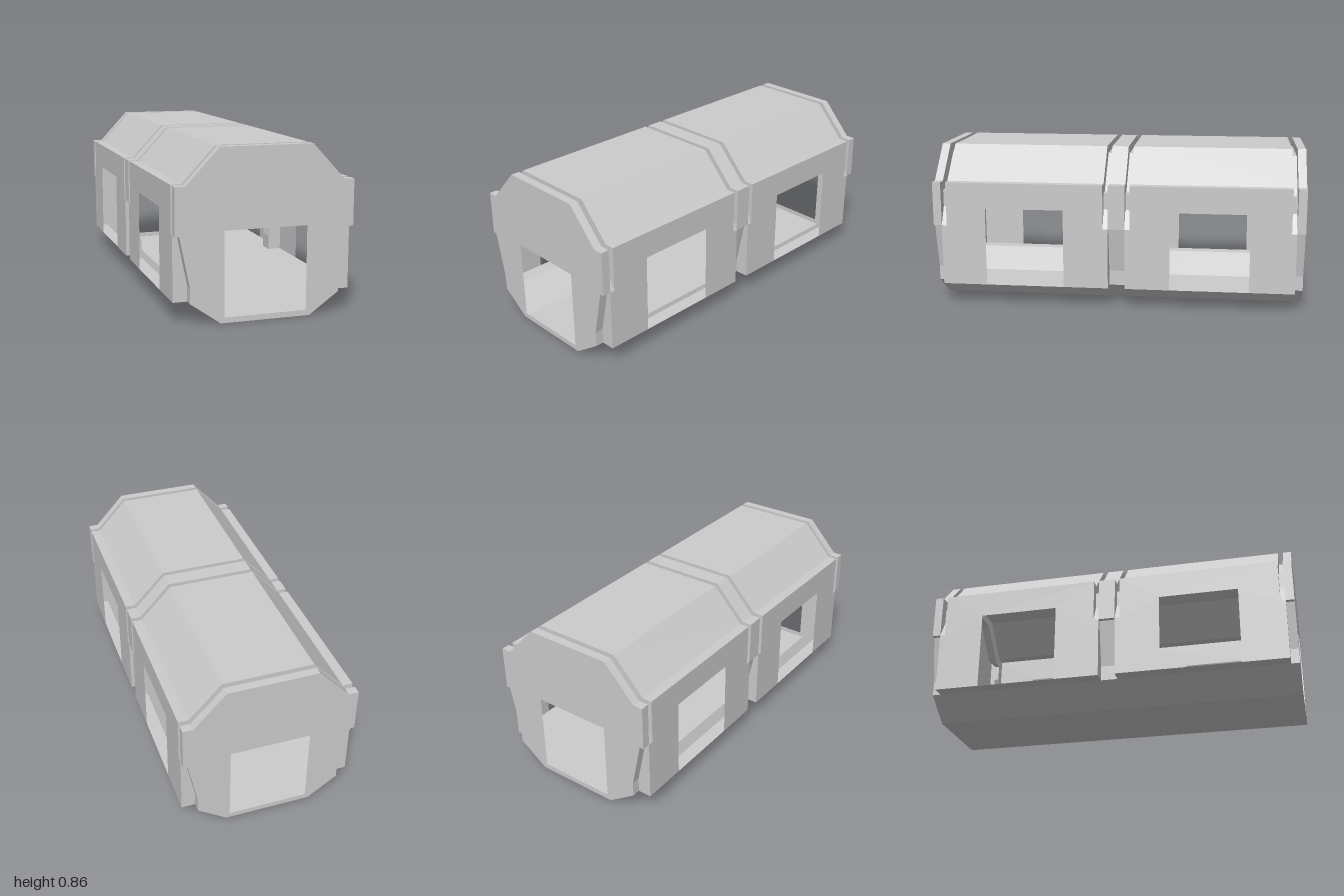
import * as THREE from 'three';

const material = new THREE.MeshStandardMaterial({
  color: 0xcccccc, flatShading: true, side: THREE.DoubleSide,
});

const SIDE = 0.458;        // half width of the corridor
const BAY = 0.4275;        // half length of a bay's roof
const LOWER_BAY = 0.455;   // half length of a bay's lower wall

// Right-half points, bottom to top, become a symmetric profile
const mirrored = (half) => [...half, ...half.map(([x, y]) => [-x, y]).reverse()];
const vectors = (pts) => pts.map(([x, y]) => new THREE.Vector2(x, y));

function named(name, geometry) {
  const mesh = new THREE.Mesh(geometry, material);
  mesh.name = name;
  return mesh;
}

// Thin skin: an open profile swept between two z positions
function skin(name, profile, z0, z1) {
  const positions = [];
  for (let i = 0; i < profile.length - 1; i++) {
    const a = profile[i], b = profile[i + 1];
    positions.push(...a, z0, ...b, z0, ...b, z1, ...a, z0, ...b, z1, ...a, z1);
  }
  const geometry = new THREE.BufferGeometry();
  geometry.setAttribute('position', new THREE.Float32BufferAttribute(positions, 3));
  geometry.computeVertexNormals();
  return named(name, geometry);
}

// Flat panel facing +z
function panel(name, outline, z, hole) {
  const shape = new THREE.Shape(vectors(outline));
  if (hole) shape.holes.push(new THREE.Path(vectors(hole)));
  return named(name, new THREE.ShapeGeometry(shape).translate(0, 0, z));
}

// Cross-sections
const hull = [[-0.385, 0.11], [-0.23, 0], [0.23, 0], [0.385, 0.11]];
const leg = [[0.385, 0.11], [0.385, 0.19], [0.436, 0.438], [SIDE, 0.438]];
const roof = [[SIDE, 0.675], [0.405, 0.675], [0.237, 0.855]];
const groove = [[SIDE, 0.438], [INNER(), 0.535], [INNER(), 0.625], [0.36, 0.625], [0.187, 0.81]];
const frame = mirrored([...leg, ...roof]);
const doorway = mirrored([[0.212, 0.028], [0.212, 0.455]]);

// Step between the raised roof line and the groove
const grooveSide = [...mirrored([[SIDE, 0.438], ...roof]), ...mirrored(groove).reverse().slice(1, -1)];
// Step between the slanted frame leg and the bay wall
const legSide = [...leg, [SIDE, 0.11]];

// Wall as seen from the side, stepped at the ends, window notched from below
const wall = [
  ...mirrored([[0.2125, 0.11], [LOWER_BAY, 0.11], [LOWER_BAY, 0.438], [BAY, 0.438], [BAY, 0.675]]),
  [-0.2125, 0.535], [0.2125, 0.535],
];

function INNER() {
  return 0.408; // half width at the bottom of the grooves
}

function createBay() {
  const bay = new THREE.Group();
  bay.name = 'bay';
  bay.add(skin('roof', mirrored(roof), -BAY, BAY));
  for (const end of [1, -1]) {
    const inner = end * BAY, outer = end * LOWER_BAY;
    bay.add(skin('groove', mirrored(groove), Math.min(inner, outer), Math.max(inner, outer)));
    bay.add(panel('grooveSide', grooveSide, inner), panel('grooveSide', grooveSide, outer));
    for (const side of [1, -1]) {
      bay.add(panel('legSide', legSide.map(([x, y]) => [side * x, y]), outer));
    }
  }
  for (const side of [1, -1]) {
    const sideWall = panel('sideWall', wall, 0);
    sideWall.rotation.y = side * Math.PI / 2;
    sideWall.position.x = side * SIDE;
    bay.add(sideWall);
    const ledge = [[side * 0.385, 0.11], [side * SIDE, 0.11]];
    bay.add(skin('sill', side > 0 ? ledge : ledge.reverse(), -LOWER_BAY, LOWER_BAY));
  }
  return bay;
}

export function createModel() {
  const model = new THREE.Group();
  model.name = 'corridorModule';

  // Trough-shaped floor and middle frame
  model.add(skin('floor', hull, -1, 1));
  model.add(skin('middleFrame', frame, -0.045, 0.045));

  // Two equal halves, each a bay and an end frame with a doorway
  for (const turn of [0, Math.PI]) {
    const half = new THREE.Group();
    half.name = turn ? 'backHalf' : 'frontHalf';
    const bay = createBay();
    bay.position.z = 0.5;
    half.add(bay);
    half.add(skin('endFrame', frame, 0.955, 1));
    half.add(panel('endWall', [[-0.23, 0], [0.23, 0], ...frame], 1, doorway));
    half.rotation.y = turn;
    model.add(half);
  }
  return model;
}
